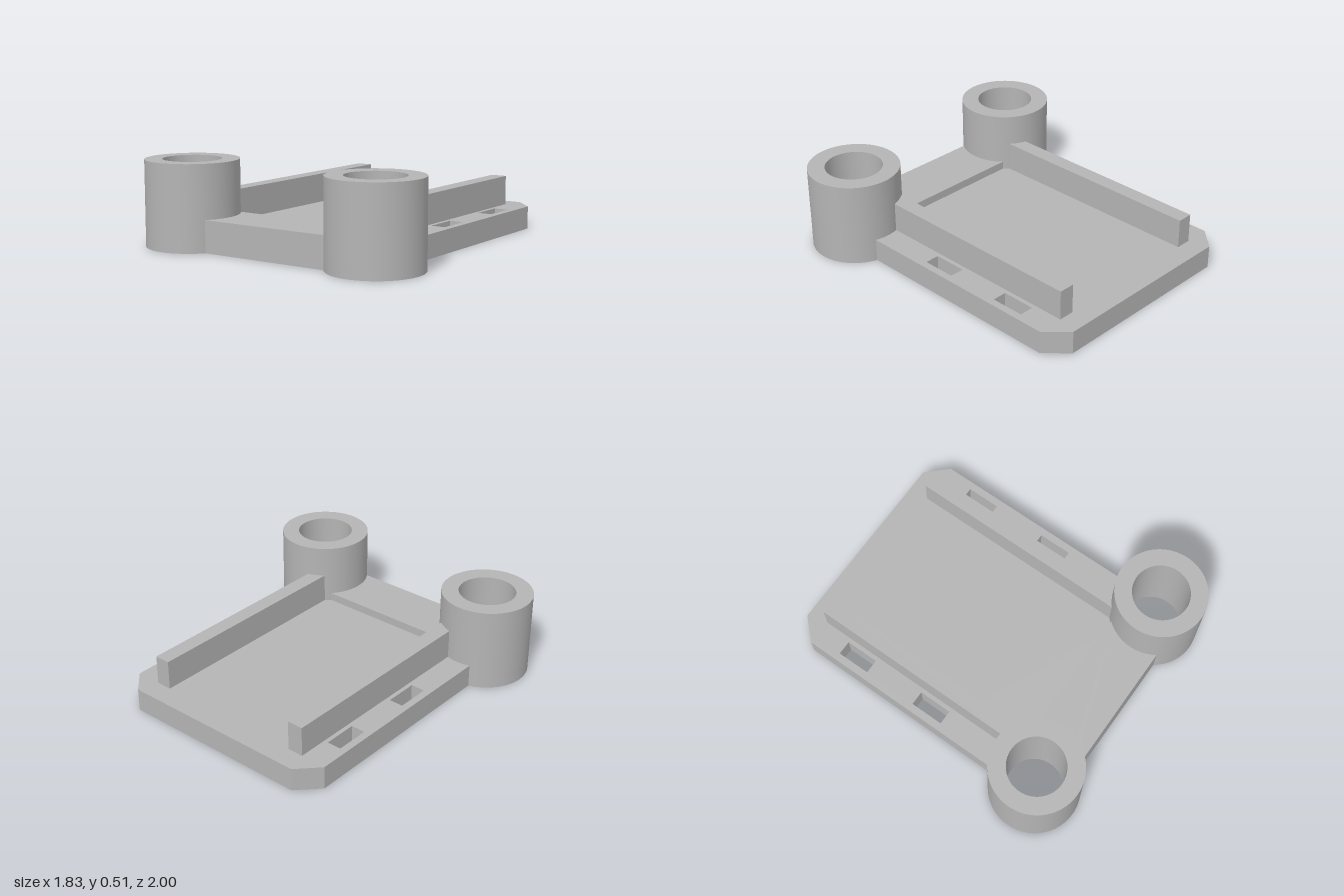
import * as THREE from 'three';
import { toCreasedNormals } from 'three/addons/utils/BufferGeometryUtils.js';

const PX = 0.638, PZ = 0.724;   // post centre
const SEAT = 0.22;              // radius inside the post wall where the plate ends
const PLATE_H = 0.14;

export function createModel() {
  const group = new THREE.Group();
  const grey = new THREE.MeshStandardMaterial({ color: 0xb4b4b4 });
  grey.name = 'grey';

  const add = (name, geometry, x = 0, y = 0, z = 0) => {
    const mesh = new THREE.Mesh(geometry, grey);
    mesh.name = name;
    mesh.position.set(x, y, z);
    group.add(mesh);
  };

  // Extrudes a shape drawn in (x, z) upward from y = 0
  const slab = (shape, height) => {
    const g = new THREE.ExtrudeGeometry(shape, { depth: height, bevelEnabled: false, curveSegments: 48 });
    g.rotateX(Math.PI / 2).translate(0, height, 0);
    return toCreasedNormals(g, 0.5);
  };

  // Curves the outline round both posts, leaving their bores clear
  const frontEdge = (shape, start) => {
    const end = Math.PI - Math.asin((0.882 - PZ) / SEAT);
    shape.absarc(PX, PZ, SEAT, start, end, true);
    shape.absarc(-PX, PZ, SEAT, Math.PI - end, Math.PI - start, true);
    shape.closePath();
  };

  // Base plate with chamfered rear corners and four strap slots
  const plate = new THREE.Shape();
  plate.moveTo(-0.595, -1);
  plate.lineTo(0.595, -1);
  plate.lineTo(0.718, -0.873);
  frontEdge(plate, -Math.acos((0.718 - PX) / SEAT));
  plate.holes = [];
  for (const s of [-1, 1]) {
    for (const z of [-0.688, -0.14]) {
      const slot = new THREE.Path();
      const a = s * 0.585, b = s * 0.673;
      slot.moveTo(a, z);
      slot.lineTo(a, z + 0.207);
      slot.lineTo(b, z + 0.207);
      slot.lineTo(b, z);
      slot.closePath();
      plate.holes.push(slot);
    }
  }
  // The rear-left chamfer closes the outline
  plate.curves.pop();
  plate.currentPoint.set(-0.718, 0.52);
  plate.lineTo(-0.718, -0.873);
  plate.lineTo(-0.595, -1);
  add('basePlate', slab(plate, PLATE_H));

  // Raised step between the posts
  const step = new THREE.Shape();
  frontEdge(step, -Math.PI + Math.asin((PZ - 0.54) / SEAT));
  add('frontStep', slab(step, 0.05), 0, PLATE_H, 0);

  // Hollow posts
  const ring = new THREE.Shape();
  ring.absarc(0, 0, 0.276, 0, Math.PI * 2, false);
  const bore = new THREE.Path();
  bore.absarc(0, 0, 0.172, 0, Math.PI * 2, true);
  ring.holes.push(bore);
  const post = slab(ring, 0.51);

  // Side rails run from near the rear edge into the post walls
  const railEnd = 0.53, railStart = -0.873;
  const rail = new THREE.BoxGeometry(0.097, 0.18, railEnd - railStart);

  for (const [side, s] of [['left', 1], ['right', -1]]) {
    add(side + 'Post', post, s * PX, 0, PZ);
    add(side + 'Rail', rail, s * 0.511, PLATE_H + 0.09, (railStart + railEnd) / 2);
  }
  return group;
}
